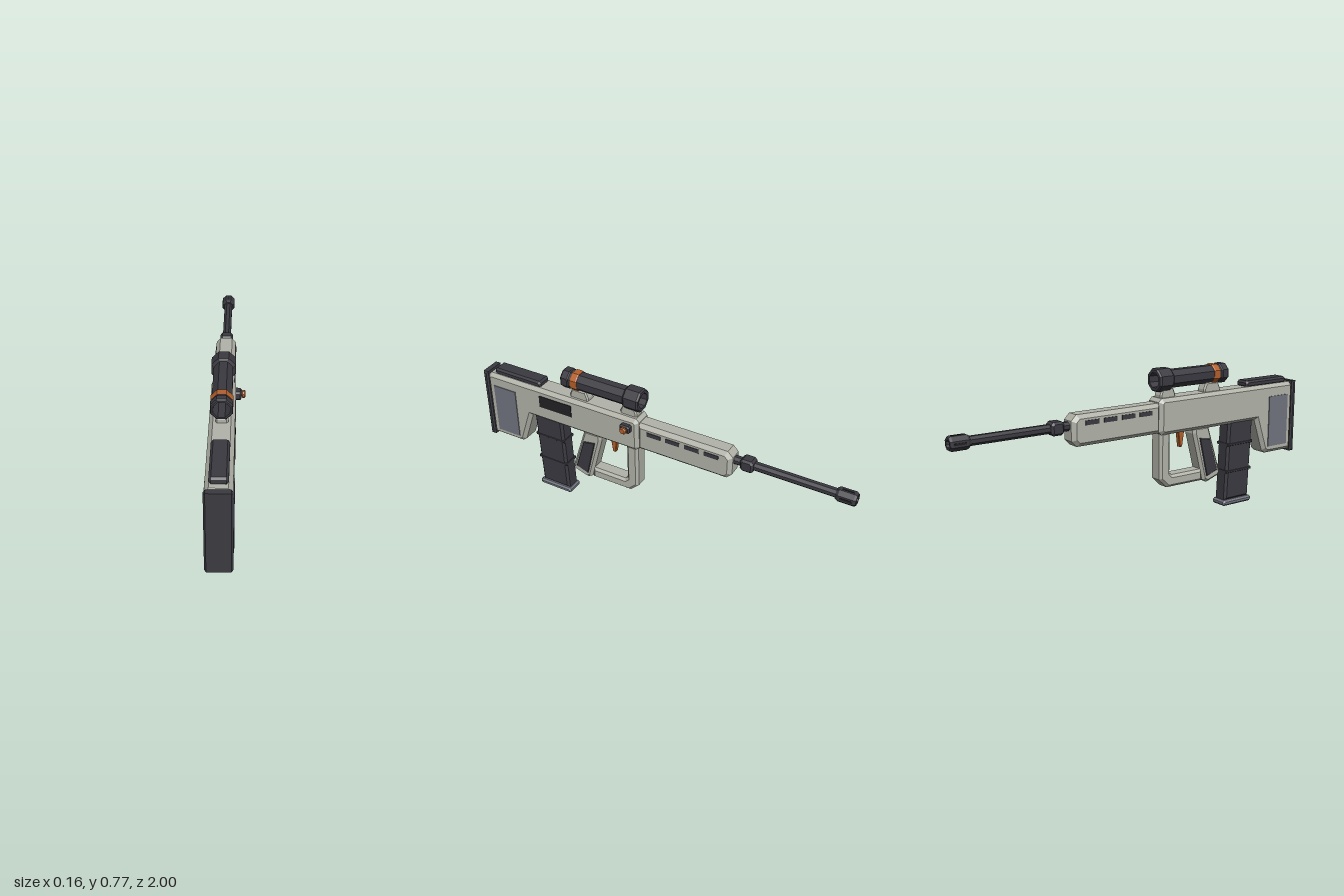
import * as THREE from 'three';

const mat = (name, color) => {
  const m = new THREE.MeshStandardMaterial({ color });
  m.name = name;
  return m;
};

export function createModel() {
  const shell = mat('pale shell', 0xb2b3a9);
  const dark = mat('charcoal', 0x3b3a41);
  const black = mat('black', 0x222125);
  const orange = mat('orange', 0xb5602c);
  const steel = mat('grey panel', 0x71747f);

  const model = new THREE.Group();
  model.name = 'rifle';
  const core = new THREE.Group(); // everything symmetric about the barrel plane
  core.name = 'rifleBody';
  core.position.x = -0.0205;
  model.add(core);

  const add = (name, geo, material, parent = core) => {
    const g = geo.index ? geo.toNonIndexed() : geo;
    g.computeVertexNormals(); // flat facets
    const mesh = new THREE.Mesh(g, material);
    mesh.name = name;
    parent.add(mesh);
    return mesh;
  };

  // Side profile given as [z, y] points, spanning x0..x1 with a chamfer b
  const profile = (pts, x0, x1, b = 0) => {
    const shape = new THREE.Shape(pts.map(([z, y]) => new THREE.Vector2(-z, y)));
    const geo = new THREE.ExtrudeGeometry(shape, {
      depth: x1 - x0 - 2 * b, bevelEnabled: b > 0, bevelSegments: 1,
      bevelThickness: b, bevelSize: b, bevelOffset: -b,
    });
    geo.rotateY(Math.PI / 2);
    geo.translate(x0 + b, 0, 0);
    return geo;
  };
  const rect = (z0, z1, y0, y1, c = 0) => c
    ? [[z0 + c, y0], [z1 - c, y0], [z1, y0 + c], [z1, y1 - c], [z1 - c, y1], [z0 + c, y1], [z0, y1 - c], [z0, y0 + c]]
    : [[z0, y0], [z1, y0], [z1, y1], [z0, y1]];
  const solid = (name, pts, half, b, material) => add(name, profile(pts, -half, half, b), material);
  const bothSides = (name, pts, inner, outer, material, b = 0) => {
    add(name + 'Left', profile(pts, inner, outer, b), material);
    add(name + 'Right', profile(pts, -outer, -inner, b), material);
  };
  // Eight-sided turned part along z; points are [flat radius, z], z ascending outside
  const turned = (name, pts, y, material) => {
    const k = 1 / Math.cos(Math.PI / 8);
    const geo = new THREE.LatheGeometry(pts.map(([r, z]) => new THREE.Vector2(r * k, z)), 8, Math.PI / 8);
    geo.rotateX(Math.PI / 2);
    geo.translate(0, y, 0);
    return add(name, geo, material);
  };

  // Receiver and stock in one shell
  solid('receiver', [
    [0.978, 0.25], [0.978, 0.605], [0.96, 0.624], [0.097, 0.624], [0.08, 0.607], [0.08, 0.46],
    [0.097, 0.442], [0.715, 0.442], [0.775, 0.268], [0.798, 0.25],
  ], 0.057, 0.018, shell);
  bothSides('stockPanel', rect(0.803, 0.937, 0.287, 0.56), 0.054, 0.061, steel);
  add('ejectionPort', profile(rect(0.461, 0.653, 0.522, 0.587), 0.054, 0.06), black);
  solid('buttPad', rect(0.972, 1, 0.238, 0.627), 0.059, 0.008, dark);
  solid('cheekRest', rect(0.653, 0.937, 0.618, 0.654, 0.01), 0.04, 0.01, dark);

  // Handguard with vent slots
  solid('handguard', [
    [0.09, 0.452], [0.09, 0.603], [-0.385, 0.603], [-0.412, 0.575], [-0.412, 0.48], [-0.385, 0.452],
  ], 0.049, 0.019, shell);
  for (let i = 0; i < 4; i++) {
    const z = -0.004 - i * 0.102;
    bothSides('ventSlot' + (i + 1), rect(z - 0.037, z + 0.037, 0.552, 0.574), 0.046, 0.052, dark);
  }

  // Barrel, collar and hollow muzzle brake
  const barrelY = 0.548;
  turned('barrel', [[0, -0.95], [0.021, -0.95], [0.021, -0.39], [0, -0.39]], barrelY, dark);
  solid('barrelCollar', rect(-0.512, -0.445, barrelY - 0.032, barrelY + 0.032, 0.012), 0.032, 0.01, dark);
  turned('muzzleBrake', [
    [0.017, -0.945], [0.017, -1], [0.027, -1], [0.033, -0.99], [0.033, -0.918], [0.026, -0.905], [0.018, -0.905],
  ], barrelY, dark);
  for (let i = 0; i < 4; i++) {
    const a = (i * Math.PI) / 2;
    const slot = add('brakeSlot' + (i + 1), new THREE.BoxGeometry(0.01, 0.004, 0.055), black);
    slot.position.set(Math.sin(a) * 0.0325, barrelY + Math.cos(a) * 0.0325, -0.955);
    slot.rotation.z = -a;
  }

  // Magazine, leaning slightly, with ribs and a base plate
  solid('magazine', [[0.707, 0.46], [0.538, 0.46], [0.52, 0.03], [0.687, 0.03]], 0.042, 0.012, dark);
  for (const y of [0.33, 0.185]) {
    const shift = (0.46 - y) * 0.045;
    solid('magazineRib', rect(0.535 - shift, 0.71 - shift, y - 0.007, y + 0.007), 0.044, 0.003, dark);
  }
  solid('magazineBase', rect(0.508, 0.703, 0, 0.03, 0.009), 0.048, 0.009, steel);

  // Pistol grip with inset panels
  solid('grip', [
    [0.402, 0.455], [0.305, 0.455], [0.303, 0.42], [0.37, 0.168], [0.398, 0.152], [0.478, 0.178], [0.484, 0.2],
  ], 0.043, 0.014, shell);
  bothSides('gripPanel', [[0.405, 0.383], [0.338, 0.395], [0.388, 0.188], [0.457, 0.212]], 0.039, 0.048, dark, 0.003);

  // Trigger guard and trigger
  solid('triggerGuard', [
    [0.365, 0.167], [0.14, 0.167], [0.092, 0.213], [0.092, 0.455], [0.157, 0.455],
    [0.157, 0.24], [0.17, 0.228], [0.36, 0.228],
  ], 0.041, 0.013, shell);
  solid('trigger', [[0.266, 0.455], [0.222, 0.455], [0.236, 0.357], [0.251, 0.357]], 0.013, 0.003, orange);

  // Open scope tube on two mounts
  const scopeY = 0.711;
  turned('scope', [
    [0.036, 0.08], [0.05, 0.08], [0.056, 0.088], [0.056, 0.158], [0.05, 0.166], [0.044, 0.168],
    [0.044, 0.478], [0.049, 0.483], [0.049, 0.515], [0.044, 0.522], [0.036, 0.522], [0.036, 0.08],
  ], scopeY, dark);
  turned('scopeRing', [
    [0.042, 0.428], [0.046, 0.428], [0.049, 0.433], [0.049, 0.461], [0.046, 0.466], [0.042, 0.466],
  ], scopeY, orange);
  for (const [name, z, w] of [['rearMount', 0.43, 0.053], ['frontMount', 0.147, 0.046]]) {
    solid(name, [
      [z - w, 0.61], [z + w, 0.61], [z + w, 0.638], [z + w - 0.014, 0.672], [z - w + 0.014, 0.672], [z - w, 0.638],
    ], 0.028, 0.007, shell);
  }

  // Side knob on the left flank only
  const knob = new THREE.Group();
  knob.name = 'sideKnob';
  model.add(knob);
  add('knobBlock', profile(rect(0.112, 0.168, 0.552, 0.594, 0.008), 0.025, 0.063, 0.007), dark, knob);
  const cap = new THREE.LatheGeometry([[0, 0.055], [0.013, 0.055], [0.013, 0.064], [0.019, 0.067],
    [0.019, 0.075], [0.014, 0.08], [0, 0.08]].map(([r, h]) => new THREE.Vector2(r, h)), 8, Math.PI / 8);
  cap.rotateZ(-Math.PI / 2);
  cap.translate(0, 0.573, 0.14);
  add('knobCap', cap, orange, knob);

  return model;
}
